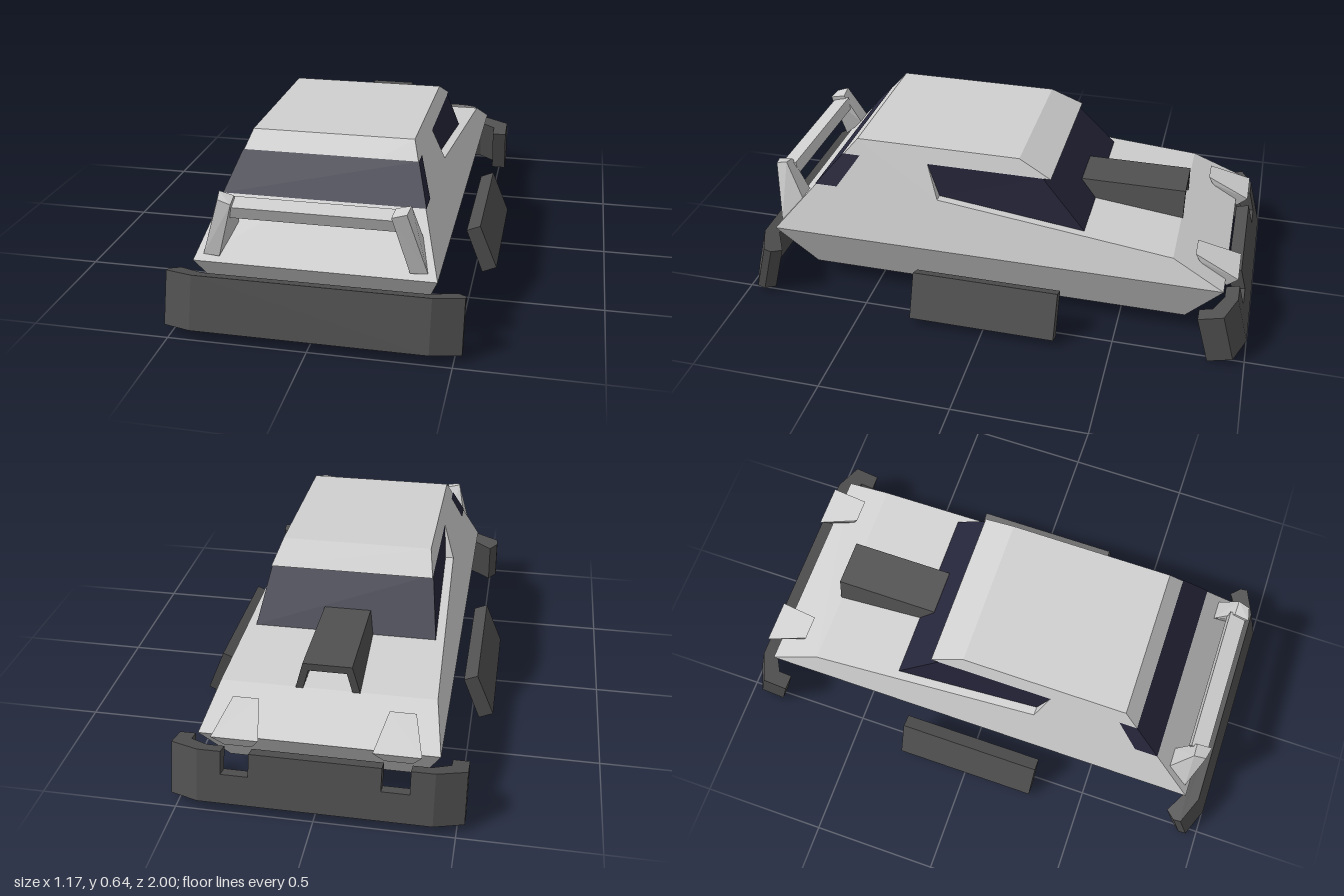
import * as THREE from 'three';
import { ConvexGeometry } from 'three/addons/geometries/ConvexGeometry.js';

const paint = new THREE.MeshStandardMaterial({ color: 0xd0d0d0 });
paint.name = 'light grey paint';
const trim = new THREE.MeshStandardMaterial({ color: 0x505050 });
trim.name = 'dark grey trim';
const glass = new THREE.MeshStandardMaterial({ color: 0x26263b });
glass.name = 'navy glass';

// Half width of the upper body at height y (the flanks lean inwards)
const half = (y) => 0.43 - (y - 0.257) * 0.352;

export function createModel() {
  const car = new THREE.Group();
  car.name = 'car';

  const add = (name, geometry, material) => {
    const mesh = new THREE.Mesh(geometry, material);
    mesh.name = name;
    car.add(mesh);
    return mesh;
  };

  // Flat polygons with hard edges
  const faceted = (points, faces) => {
    const g = new THREE.BufferGeometry();
    g.setAttribute('position', new THREE.Float32BufferAttribute(
      faces.flat().flatMap((i) => points[i]), 3));
    g.computeVertexNormals();
    return g;
  };

  // Convex solid; pairs are made by mirroring x
  const solid = (name, points, material) =>
    add(name, new ConvexGeometry(points.map((p) => new THREE.Vector3(...p))), material);
  const solidPair = (name, points, material) => {
    solid(name + 'Left', points, material);
    solid(name + 'Right', points.map(([x, y, z]) => [-x, y, z]), material);
  };

  // Panel pair on the flanks from [z, y, inset] points, counter-clockwise from outside
  const sidePanels = (name, pts, material, faces) => {
    const tris = faces || THREE.ShapeUtils.triangulateShape(
      pts.map(([z, y]) => new THREE.Vector2(-z, y)), []);
    for (const s of [1, -1]) {
      const points = pts.map(([z, y, inset = 0]) => [s * (half(y) - inset), y, z]);
      const wound = s > 0 ? tris : tris.map(([a, b, c]) => [a, c, b]);
      add(name + (s > 0 ? 'Left' : 'Right'), faceted(points, wound), material);
    }
  };

  // Cross strip running along [z, y, inset] points from tail to nose
  const strip = (name, profile, material) => {
    const points = profile.flatMap(([z, y, inset = 0]) => {
      const w = half(y) - inset;
      return [[-w, y, z], [w, y, z]];
    });
    const faces = [];
    for (let i = 0; i < profile.length - 1; i++) {
      const a = i * 2;
      faces.push([a, a + 1, a + 3], [a, a + 3, a + 2]);
    }
    add(name, faceted(points, faces), material);
  };

  // Lower body, tapering towards the floor
  const hullPoints = [];
  for (const x of [-1, 1]) for (const z of [-1, 1]) {
    hullPoints.push([x * 0.43, 0.257, z * 0.893], [x * 0.36, 0.07, z * 0.757]);
  }
  solid('lowerBody', hullPoints, paint);

  // Upper body shell
  sidePanels('flank', [
    [0.893, 0.257], [-0.893, 0.257], [-0.695, 0.355], [-0.35, 0.39], [0.227, 0.449],
    [0.275, 0.578], [-0.21, 0.578], [-0.083, 0.64], [0.563, 0.64],
  ], paint);
  strip('roof', [[0.893, 0.257], [0.563, 0.64], [-0.083, 0.64], [-0.21, 0.578], [-0.18, 0.578]], paint);
  strip('hood', [[-0.35, 0.39], [-0.695, 0.355], [-0.893, 0.257]], paint);

  // Recessed side windows with sill and rear reveal
  const inset = 0.033;
  sidePanels('windowSill',
    [[0.227, 0.449], [-0.35, 0.39], [-0.35, 0.39, inset], [0.227, 0.449, inset], [0.275, 0.578]],
    paint, [[0, 1, 2], [0, 2, 3], [0, 3, 4]]);
  sidePanels('sideWindow',
    [[0.227, 0.449, inset], [-0.35, 0.39, inset], [-0.18, 0.578], [0.275, 0.578]],
    glass, [[0, 1, 2], [0, 2, 3]]);
  strip('windshield', [[-0.18, 0.578], [-0.35, 0.39, inset]], glass);

  // Rear window band wrapping round the corners
  strip('rearWindow', [[0.73, 0.451, -0.003], [0.62, 0.579, -0.003]], glass);
  sidePanels('rearQuarterWindow', [
    [0.73, 0.451, -0.003], [0.64, 0.451, -0.003], [0.55, 0.579, -0.003], [0.62, 0.579, -0.003],
  ], glass);

  // Open hood scoop
  const arch = new THREE.Shape([
    [-0.118, 0.355], [-0.09, 0.46], [0.09, 0.46], [0.118, 0.355],
    [0.09, 0.355], [0.07, 0.432], [-0.07, 0.432], [-0.09, 0.355],
  ].map((p) => new THREE.Vector2(...p)));
  const scoop = new THREE.ExtrudeGeometry(arch, { depth: 0.41, bevelEnabled: false });
  add('hoodScoop', scoop.translate(0, 0, -0.7), trim);

  // Raised headlight pods
  solidPair('headlightPod', [
    [0.235, 0.342, -0.773], [0.33, 0.342, -0.773], [0.235, 0.312, -0.79], [0.33, 0.312, -0.79],
    [0.2, 0.28, -0.94], [0.37, 0.28, -0.94], [0.235, 0.222, -0.9], [0.335, 0.222, -0.9],
  ], paint);

  // Rear spoiler
  solidPair('spoilerPost', [
    [0.335, 0.278, 0.885], [0.395, 0.278, 0.877], [0.29, 0.37, 0.79], [0.365, 0.37, 0.79],
    [0.275, 0.49, 0.917], [0.325, 0.5, 0.905], [0.28, 0.5, 0.858], [0.333, 0.514, 0.858],
  ], paint);
  const barPoints = [];
  for (const x of [-0.29, 0.29]) {
    barPoints.push([x, 0.49, 0.84], [x, 0.475, 0.905], [x, 0.43, 0.89], [x, 0.435, 0.835]);
  }
  solid('spoilerBar', barPoints, paint);

  // Side skirts leaning outwards at the bottom
  const skirt = [];
  for (const z of [-0.285, 0.288]) {
    skirt.push([0.515, 0.2, z], [0.585, 0.03, z], [0.53, 0.005, z], [0.463, 0.178, z]);
  }
  solidPair('sideSkirt', skirt, trim);

  // Tilted bumpers: plan outlines as [x, depth], raised from h0 to h1
  const tilt = new THREE.Matrix4().makeBasis(
    new THREE.Vector3(1, 0, 0),
    new THREE.Vector3(0, -0.26, -0.966),
    new THREE.Vector3(0, 0.966, -0.26)).setPosition(0, 0.038, 1);
  const bumper = (name, outline, h0, h1, atNose) => {
    const shape = new THREE.Shape(outline.map((p) => new THREE.Vector2(...p)));
    const g = new THREE.ExtrudeGeometry(shape, { depth: h1 - h0, bevelEnabled: false });
    g.translate(0, 0, h0).applyMatrix4(tilt);
    if (atNose) g.rotateY(Math.PI);
    add(name, g, trim);
  };
  const flip = (outline) => outline.map(([x, d]) => [-x, d]).reverse();

  const rearEnd = [[0.42, 0], [0.527, 0.045], [0.527, 0.075], [0.495, 0.11], [0.4, 0.055]];
  bumper('rearBumper', [...rearEnd, ...flip(rearEnd)], 0, 0.196, false);

  // Nose bumper, notched below each headlight pod
  const noseEnd = [[0.42, 0], [0.527, 0.045], [0.527, 0.142], [0.467, 0.142], [0.467, 0.09], [0.4, 0.052]];
  const outerPiece = [[0.335, 0], ...noseEnd, [0.335, 0.052]];
  bumper('noseBumper', [...noseEnd, ...flip(noseEnd)], 0, 0.11, true);
  bumper('noseBumperEndRight', outerPiece, 0.11, 0.196, true);
  bumper('noseBumperEndLeft', flip(outerPiece), 0.11, 0.196, true);
  bumper('noseBumperMiddle', [[-0.235, 0], [0.235, 0], [0.235, 0.052], [-0.235, 0.052]], 0.11, 0.196, true);

  return car;
}
